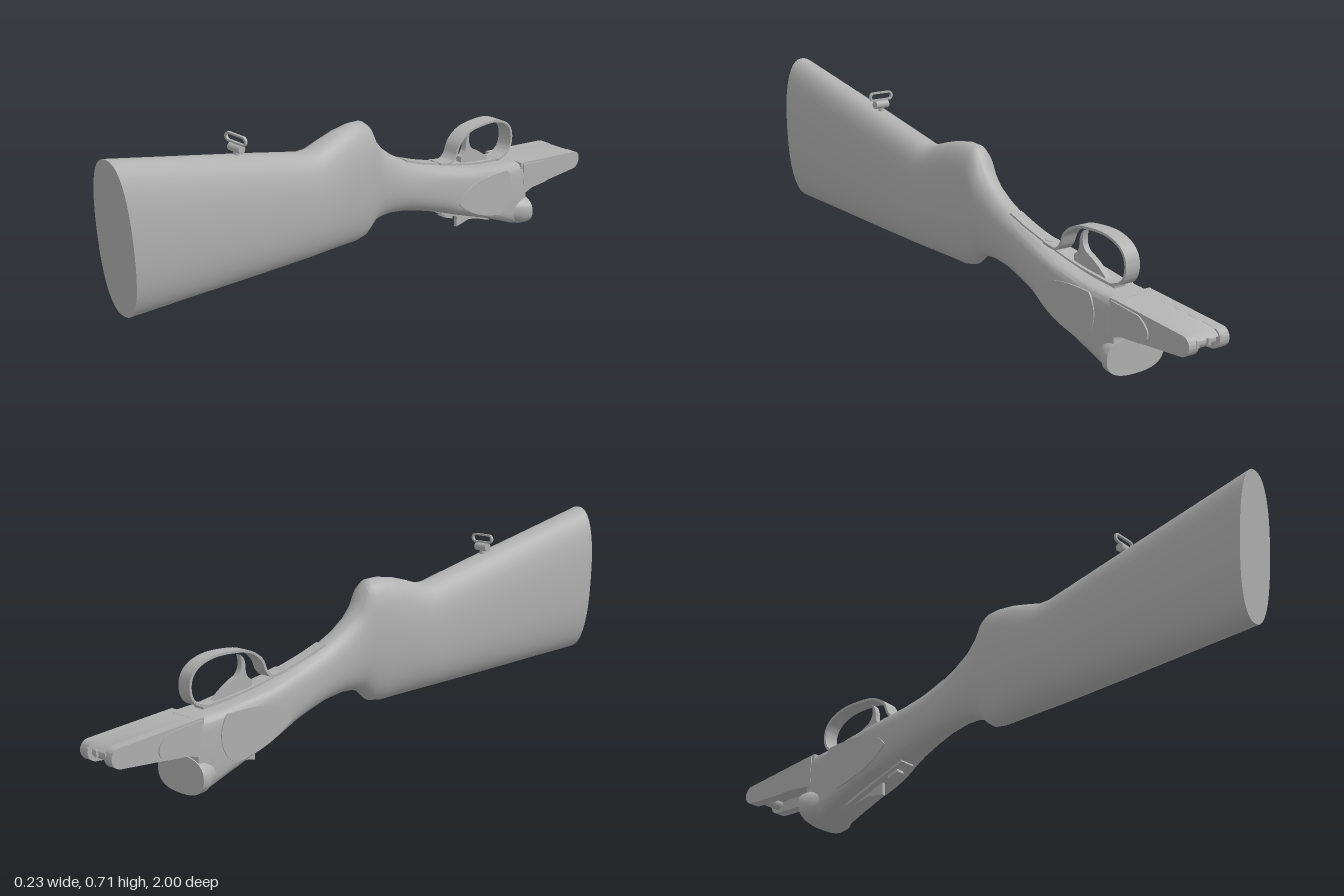
import * as THREE from 'three';
import { toCreasedNormals } from 'three/addons/utils/BufferGeometryUtils.js';

const grey = new THREE.MeshStandardMaterial({ color: 0xb0b0b0 });
grey.name = 'plain grey';

// Skin through superellipse sections: [z at top, z at bottom, top y, bottom y, half width, exponent]
function loft(stations, sides = 40) {
  const pos = [], idx = [];
  stations.forEach(([zt, zb, yt, yb, hw, n]) => {
    for (let j = 0; j < sides; j++) {
      const a = (j / sides) * Math.PI * 2, c = Math.cos(a), s = Math.sin(a);
      const v = Math.sign(s) * Math.abs(s) ** (2 / n);
      pos.push(hw * Math.sign(c) * Math.abs(c) ** (2 / n), (yt + yb) / 2 + v * (yt - yb) / 2, (zt + zb) / 2 + v * (zt - zb) / 2);
    }
  });
  const last = stations.length - 1;
  for (let i = 0; i < last; i++) for (let j = 0; j < sides; j++) {
    const k = (j + 1) % sides, a = i * sides, b = a + sides;
    idx.push(a + j, b + j, a + k, a + k, b + j, b + k);
  }
  for (let j = 1; j < sides - 1; j++) {
    const e = last * sides;
    idx.push(0, j, j + 1, e, e + j + 1, e + j);
  }
  const g = new THREE.BufferGeometry();
  g.setAttribute('position', new THREE.Float32BufferAttribute(pos, 3));
  g.setIndex(idx);
  return toCreasedNormals(g, 0.6);
}

// Side outline (u = -z, v = y) given thickness across x
function slab(shape, width, x = 0) {
  const g = new THREE.ExtrudeGeometry(shape, { depth: width, bevelEnabled: false, curveSegments: 12 });
  g.rotateY(Math.PI / 2);
  g.translate(x - width / 2, 0, 0);
  return toCreasedNormals(g, 0.6);
}

const vec = (pts) => pts.map(([u, v]) => new THREE.Vector2(u, v));

// Thin strip of even thickness along a side-view curve
function strip(pts, thick, n = 36) {
  const curve = new THREE.SplineCurve(vec(pts)), a = [], b = [];
  for (let i = 0; i <= n; i++) {
    const p = curve.getPoint(i / n), t = curve.getTangent(i / n);
    const o = new THREE.Vector2(-t.y, t.x).multiplyScalar(thick / 2);
    a.push(p.clone().add(o));
    b.unshift(p.clone().sub(o));
  }
  return new THREE.Shape([...a, ...b]);
}

function stadium(hw, r, Type) {
  const s = new Type();
  s.absarc(hw - r, 0, r, -Math.PI / 2, Math.PI / 2, false);
  s.absarc(r - hw, 0, r, Math.PI / 2, Math.PI * 1.5, false);
  s.closePath();
  return s;
}

export function createModel() {
  const model = new THREE.Group();
  const add = (name, geometry, x = 0, y = 0, z = 0) => {
    const m = new THREE.Mesh(geometry, grey);
    m.name = name;
    m.position.set(x, y, z);
    model.add(m);
    return m;
  };

  // Butt, comb, grip and receiver in one flowing body
  add('stockBody', loft([
    [1, 0.965, 0.71, 0.224, 0.081, 2.4],
    [0.75, 0.74, 0.647, 0.21, 0.083, 2.4],
    [0.5, 0.5, 0.584, 0.194, 0.084, 2.4],
    [0.27, 0.27, 0.524, 0.18, 0.083, 2.4],
    [0.23, 0.23, 0.523, 0.178, 0.082, 2.4],
    [0.18, 0.18, 0.538, 0.174, 0.079, 2.3],
    [0.12, 0.12, 0.553, 0.17, 0.075, 2.3],
    [0.06, 0.06, 0.56, 0.165, 0.07, 2.3],
    [0.015, 0.02, 0.556, 0.17, 0.065, 2.3],
    [-0.005, 0, 0.54, 0.185, 0.062, 2.3],
    [-0.025, -0.02, 0.496, 0.205, 0.06, 2.2],
    [-0.06, -0.05, 0.452, 0.213, 0.057, 2.2],
    [-0.11, -0.1, 0.412, 0.213, 0.056, 2.2],
    [-0.17, -0.17, 0.376, 0.2, 0.056, 2.3],
    [-0.24, -0.24, 0.347, 0.178, 0.06, 2.5],
    [-0.31, -0.31, 0.322, 0.155, 0.069, 2.9],
    [-0.37, -0.37, 0.303, 0.132, 0.079, 3.6],
    [-0.43, -0.43, 0.285, 0.11, 0.085, 4.5],
    [-0.52, -0.52, 0.263, 0.077, 0.086, 6],
    [-0.6, -0.6, 0.247, 0.042, 0.085, 6],
    [-0.66, -0.66, 0.24, 0.014, 0.084, 6],
    [-0.705, -0.705, 0.234, 0.002, 0.083, 6],
  ]));

  // Rounded breech face with ears
  add('breechFace', loft([
    [-0.62, -0.62, 0.11, 0.035, 0.07, 2.5],
    [-0.66, -0.66, 0.114, 0.014, 0.092, 2.5],
    [-0.685, -0.685, 0.117, 0.003, 0.11, 2.5],
    [-0.71, -0.71, 0.117, 0, 0.113, 2.5],
  ]));

  // Action bar: two rails, top plate and hinge pin
  const rail = new THREE.Shape();
  rail.moveTo(0.68, 0.13);
  rail.lineTo(0.97, 0.133);
  rail.absarc(0.969, 0.164, 0.031, -Math.PI / 2, 1.4, false);
  rail.lineTo(0.68, 0.237);
  const top = new THREE.Shape(vec([[0.68, 0.18], [0.97, 0.165], [0.995, 0.175], [0.974, 0.194], [0.68, 0.237]]));
  add('barTop', slab(top, 0.09));
  for (const s of [-1, 1]) {
    add('barRail', slab(rail, 0.037, s * 0.0605));
    // Round-ended iron on each side of the bar
    const iron = new THREE.Shape();
    iron.moveTo(0.69, 0.12);
    iron.lineTo(0.74, 0.132);
    iron.lineTo(0.81, 0.132);
    iron.quadraticCurveTo(0.85, 0.14, 0.84, 0.175);
    iron.quadraticCurveTo(0.825, 0.2, 0.8, 0.212);
    iron.lineTo(0.69, 0.23);
    add('barSideIron', slab(iron, 0.008, s * 0.08));
    // Leaf-shaped side panel
    const leaf = new THREE.Shape();
    leaf.moveTo(0.36, 0.185);
    leaf.bezierCurveTo(0.4, 0.24, 0.46, 0.25, 0.6, 0.235);
    leaf.bezierCurveTo(0.64, 0.19, 0.63, 0.11, 0.57, 0.085);
    leaf.bezierCurveTo(0.48, 0.1, 0.4, 0.14, 0.36, 0.185);
    add('sidePanel', slab(leaf, 0.006, s * 0.0845));
  }
  const pin = new THREE.CylinderGeometry(0.02, 0.02, 0.1, 20);
  pin.rotateZ(Math.PI / 2);
  add('hingePin', pin, 0, 0.164, -0.965);
  for (const x of [-0.045, 0, 0.045]) add('barEndStud', new THREE.BoxGeometry(0.01, 0.02, 0.008), x, 0.168, -0.997);

  // Tang strip, screw and trigger guard bow
  add('tangStrip', slab(strip([[0.17, 0.374], [0.24, 0.346], [0.32, 0.319], [0.4, 0.295], [0.5, 0.27], [0.64, 0.247]], 0.008), 0.044));
  const screw = add('tangScrew', new THREE.CylinderGeometry(0.014, 0.014, 0.012, 20), 0, 0.318, -0.33);
  screw.rotation.x = -0.33;
  add('triggerGuard', slab(strip([
    [0.33, 0.318], [0.38, 0.308], [0.405, 0.325], [0.425, 0.365], [0.47, 0.393], [0.53, 0.4],
    [0.6, 0.396], [0.655, 0.375], [0.684, 0.34], [0.686, 0.295], [0.665, 0.264], [0.62, 0.251],
  ], 0.008, 60), 0.054));

  // Trigger with its seat
  const trigger = new THREE.Shape();
  trigger.moveTo(0.493, 0.385);
  trigger.quadraticCurveTo(0.478, 0.345, 0.505, 0.32);
  trigger.quadraticCurveTo(0.55, 0.3, 0.6, 0.25);
  trigger.lineTo(0.45, 0.265);
  trigger.lineTo(0.45, 0.305);
  trigger.quadraticCurveTo(0.475, 0.315, 0.473, 0.345);
  trigger.quadraticCurveTo(0.475, 0.375, 0.493, 0.385);
  add('trigger', slab(trigger, 0.02));

  // Opening lever and safety slide on the underside
  add('leverPlate', slab(strip([[0.34, 0.144], [0.4, 0.121], [0.48, 0.09], [0.58, 0.05]], 0.014), 0.056));
  const lever = new THREE.Shape(vec([[0.44, 0.1], [0.438, 0.056], [0.5, 0.064], [0.56, 0.05], [0.6, 0.06]]));
  add('openingLever', slab(lever, 0.012));
  add('safetySlide', slab(strip([[0.37, 0.125], [0.39, 0.117], [0.41, 0.109]], 0.022), 0.03));

  // Sling swivel: stud, cross barrel and flat loop
  add('swivelStud', new THREE.CylinderGeometry(0.008, 0.01, 0.045, 16), 0, 0.595, 0.53);
  const barrel = new THREE.CylinderGeometry(0.013, 0.013, 0.05, 20);
  barrel.rotateZ(Math.PI / 2);
  add('swivelBarrel', barrel, 0, 0.612, 0.53);
  const loop = stadium(0.046, 0.015, THREE.Shape);
  loop.holes.push(stadium(0.039, 0.009, THREE.Path));
  add('swivelLoop', new THREE.ExtrudeGeometry(loop, { depth: 0.008, bevelEnabled: false }), 0, 0.64, 0.526);

  return model;
}
